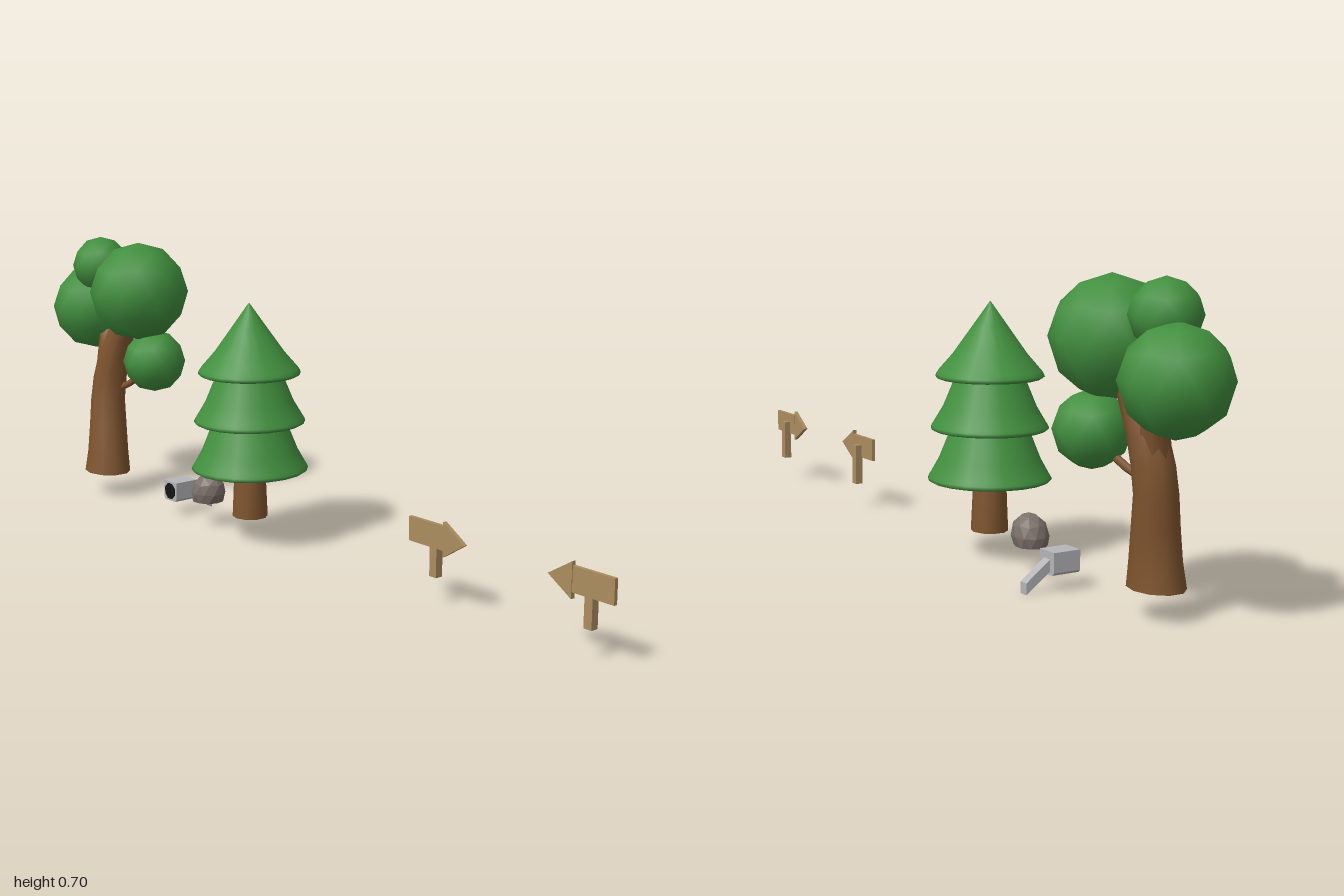
import * as THREE from 'three';

const mat = (name, color) => Object.assign(new THREE.MeshStandardMaterial({ color }), { name });
const leaf = mat('leaf green', 0x42903f);
const bark = mat('bark brown', 0x80552f);
const plank = mat('plank tan', 0xab8d60);
const stone = mat('stone grey', 0x7c706a);
const metal = mat('light metal', 0xb6b6b9);
const black = mat('lens black', 0x151515);

function add(group, name, geometry, material, x = 0, y = 0, z = 0) {
  const mesh = new THREE.Mesh(geometry, material);
  mesh.name = name;
  mesh.position.set(x, y, z);
  group.add(mesh);
  return mesh;
}

// Low-poly ball with a vertex on its vertical axis and smooth normals
function ball(r) {
  const g = new THREE.IcosahedronGeometry(r, 1);
  g.rotateZ(-Math.atan(2 / (1 + Math.sqrt(5))));
  return g;
}

// Closed limb lofted through level rings of [x, y, z, radiusX, radiusZ]
function limb(rings, sides = 10) {
  const pos = [], idx = [];
  for (const [x, y, z, rx, rz] of rings) {
    for (let i = 0; i < sides; i++) {
      const a = (i / sides) * Math.PI * 2;
      pos.push(x + Math.sin(a) * rx, y, z + Math.cos(a) * rz);
    }
  }
  for (let k = 0; k < rings.length - 1; k++) {
    for (let i = 0; i < sides; i++) {
      const j = (i + 1) % sides;
      const a = k * sides + i, b = k * sides + j, c = a + sides, d = b + sides;
      idx.push(a, b, d, a, d, c);
    }
  }
  // separate vertices keep the bottom cap flat
  const base = pos.length / 3;
  pos.push(...pos.slice(0, sides * 3));
  for (let i = 1; i < sides - 1; i++) idx.push(base, base + i + 1, base + i);
  const g = new THREE.BufferGeometry();
  g.setAttribute('position', new THREE.Float32BufferAttribute(pos, 3));
  g.setIndex(idx);
  g.computeVertexNormals();
  return g;
}

function roundTree() {
  const tree = new THREE.Group();
  tree.name = 'roundTree';
  add(tree, 'trunk', limb([
    [-0.770, 0.064, 0.021, 0.070, 0.057],
    [-0.770, 0.120, 0.018, 0.060, 0.052],
    [-0.776, 0.190, 0.012, 0.052, 0.049],
    [-0.786, 0.260, 0.004, 0.048, 0.045],
    [-0.784, 0.320, -0.003, 0.049, 0.043],
    [-0.770, 0.380, -0.008, 0.048, 0.040],
    [-0.745, 0.440, -0.014, 0.042, 0.036],
    [-0.710, 0.510, -0.020, 0.036, 0.032],
  ]), bark);
  add(tree, 'leftFork', limb([
    [-0.786, 0.340, -0.004, 0.040, 0.036],
    [-0.795, 0.420, -0.014, 0.032, 0.030],
    [-0.830, 0.490, -0.025, 0.026, 0.026],
  ], 8), bark);
  // Thin side branch
  const path = new THREE.CatmullRomCurve3([
    new THREE.Vector3(-0.77, 0.285, -0.005),
    new THREE.Vector3(-0.72, 0.31, -0.025),
    new THREE.Vector3(-0.66, 0.36, -0.05),
  ]);
  add(tree, 'sideBranch', new THREE.TubeGeometry(path, 5, 0.009, 6), bark);
  // Foliage
  [['leftFoliage', 0.116, -0.884, 0.503, -0.028],
    ['rightFoliage', 0.130, -0.664, 0.567, -0.022],
    ['topFoliage', 0.076, -0.822, 0.624, -0.008],
    ['lowFoliage', 0.083, -0.648, 0.378, -0.056],
  ].forEach(([name, r, x, y, z]) => add(tree, name, ball(r), leaf, x, y, z));
  return tree;
}

function pineTree() {
  const tree = new THREE.Group();
  tree.name = 'pineTree';
  tree.position.set(-0.16, 0, 0.004);
  add(tree, 'pineTrunk', limb([
    [0, 0.064, 0, 0.045, 0.043],
    [0, 0.130, 0, 0.042, 0.040],
    [0, 0.220, 0, 0.038, 0.037],
  ]), bark);
  // Each tier: rim height, rim radius, then the slope above the rim
  const tiers = [
    [0.183, 0.144, [[0.118, 0.235], [0.092, 0.300], [0.070, 0.345]]],
    [0.302, 0.137, [[0.108, 0.357], [0.082, 0.420], [0.062, 0.460]]],
    [0.422, 0.126, [[0.086, 0.478], [0.042, 0.540], [0.001, 0.598]]],
  ];
  tiers.forEach(([y, r, slope], i) => {
    const profile = [
      [0.001, y + 0.010], [r - 0.014, y + 0.001], [r - 0.006, y],
      [r, y + 0.004], [r - 0.002, y + 0.010], [r - 0.007, y + 0.018], ...slope,
    ].map(([a, b]) => new THREE.Vector2(a, b));
    add(tree, 'pineTier' + (i + 1), new THREE.LatheGeometry(profile, 20), leaf);
  });
  return tree;
}

// Boulder: a ball squeezed to size, flat underneath, leaning to one side
function boulder() {
  const g = ball(1);
  const p = g.attributes.position;
  for (let i = 0; i < p.count; i++) {
    const x = p.getX(i), z = p.getZ(i);
    const y = Math.max(p.getY(i), -0.45);
    const bump = 1 + 0.05 * Math.sin(3 * x + 2 * z);
    p.setXYZ(i, (x * bump + 0.14 * y) * 0.046, (y + 0.45) * 0.0515, z * bump * 0.042);
  }
  g.computeVertexNormals();
  return g;
}

// Prism from an outline, starting at z = 0
function prism(points, depth) {
  const shape = new THREE.Shape(points.map(([x, y]) => new THREE.Vector2(x, y)));
  return new THREE.ExtrudeGeometry(shape, { depth, bevelEnabled: false });
}

function sign(name, x, dir) {
  const g = new THREE.Group();
  g.name = name;
  g.position.x = x;
  add(g, 'signPost', new THREE.BoxGeometry(0.021, 0.103, 0.019), plank, 0, 0.1155, -0.006);
  add(g, 'signBoard', new THREE.BoxGeometry(0.112, 0.056, 0.009), plank, -dir * 0.014, 0.162, 0.0055);
  const head = [[0.038, 0.12], [0.102, 0.16], [0.038, 0.20]].map(([a, b]) => [a * dir, b]);
  add(g, 'arrowHead', prism(head, 0.010), plank, 0, 0, 0.002);
  return g;
}

function spotlight() {
  const g = new THREE.Group();
  g.name = 'spotlight';
  g.position.x = -0.48;
  // Housing with chamfered lower edges
  add(g, 'housing', prism([
    [-0.021, 0.037], [0.021, 0.037], [0.027, 0.043], [0.027, 0.088], [-0.027, 0.088], [-0.027, 0.043],
  ], 0.068), metal, 0, 0, -0.050);
  const lens = new THREE.CylinderGeometry(0.022, 0.022, 0.004, 8);
  lens.rotateY(Math.PI / 8).rotateX(Math.PI / 2);
  add(g, 'lens', lens, black, 0, 0.063, 0.018);
  // Sloping arm, drawn in the side plane and turned into place
  const arm = prism([[0.046, 0.047], [0.110, 0], [0.110, 0.026], [0.046, 0.074]], 0.023);
  arm.rotateY(Math.PI / 2);
  add(g, 'arm', arm, metal, -0.0115, 0, 0);
  return g;
}

export function createModel() {
  const model = new THREE.Group();
  model.name = 'sceneryProps';
  model.add(roundTree(), pineTree(), spotlight());
  add(model, 'boulder', boulder(), stone, -0.338, 0.064, 0);
  model.add(sign('leftPointingSign', 0.926, -1), sign('rightPointingSign', 0.485, 1));
  return model;
}
